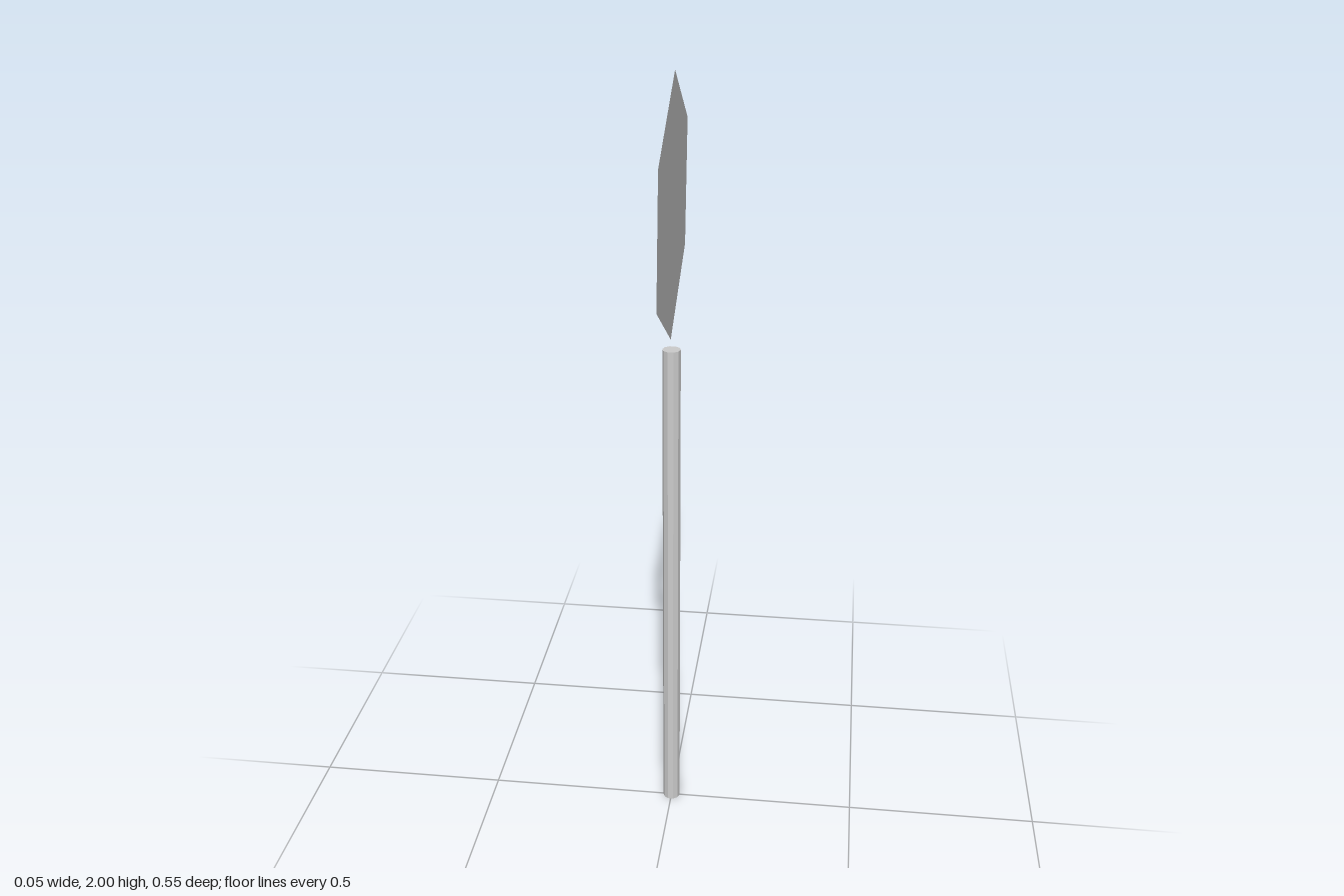
import * as THREE from 'three';

export function createModel() {
  const group = new THREE.Group();

  // Slender ten-sided pole, one corner pointing to each side
  const poleHeight = 1.335;
  const pole = new THREE.Mesh(
    new THREE.CylinderGeometry(0.0228, 0.0228, poleHeight, 10, 1, false, Math.PI / 2),
    new THREE.MeshStandardMaterial({ color: 0xcccccc, flatShading: true })
  );
  pole.name = 'pole';
  pole.position.y = poleHeight / 2;
  group.add(pole);

  // Paper-thin hexagonal sign plate facing sideways, leaning very slightly
  const plate = new THREE.CircleGeometry(0.32, 6);
  plate.rotateZ(Math.PI / 2);
  plate.rotateY(Math.PI / 2);
  const signPlate = new THREE.Mesh(
    plate,
    new THREE.MeshStandardMaterial({ color: 0xcccccc, flatShading: true, side: THREE.DoubleSide })
  );
  signPlate.name = 'signPlate';
  signPlate.position.set(0.003, 1.68, 0);
  signPlate.rotation.z = -0.0156;
  group.add(signPlate);

  return group;
}
